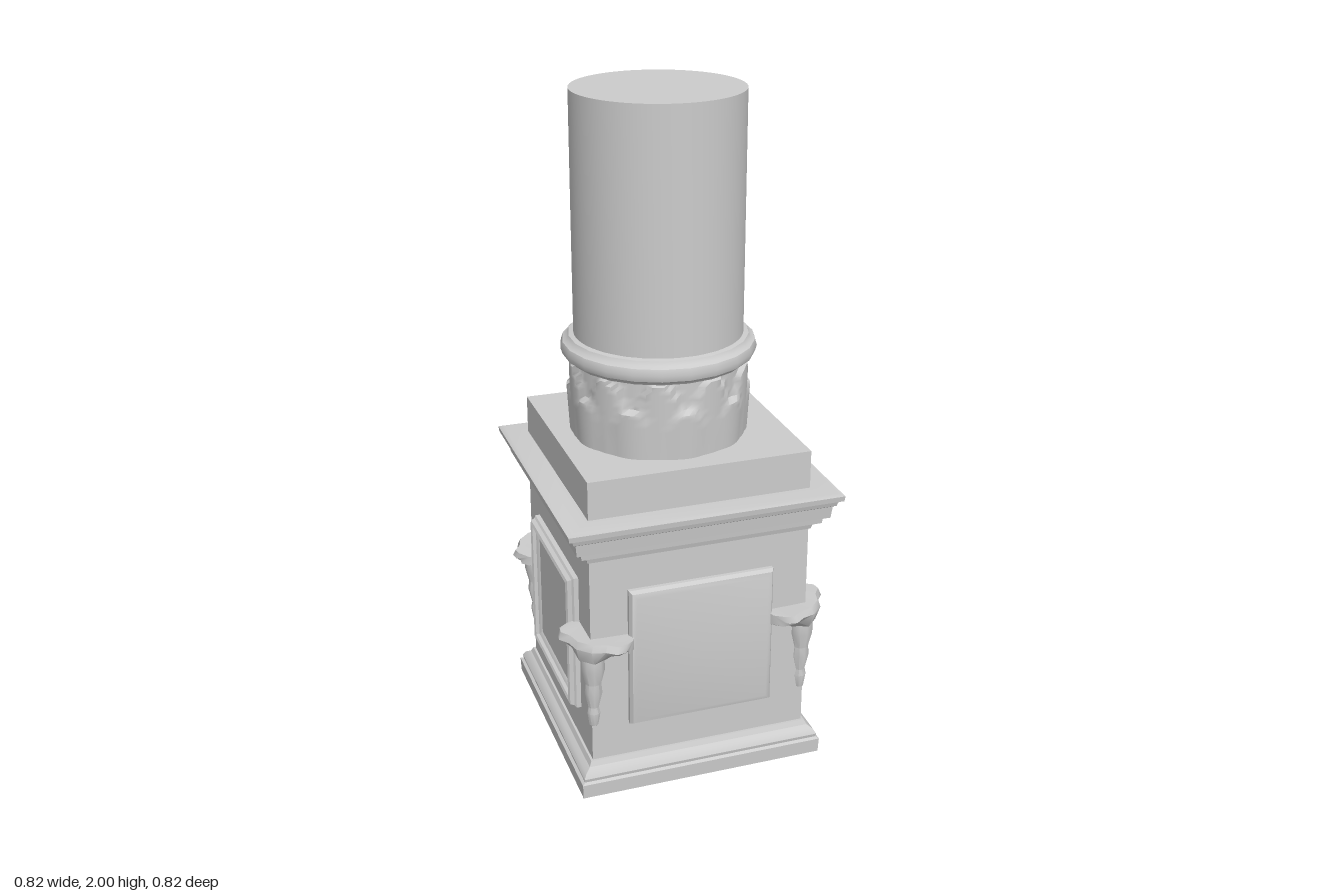
import * as THREE from 'three';
import { toCreasedNormals } from 'three/addons/utils/BufferGeometryUtils.js';

const material = new THREE.MeshStandardMaterial({ color: 0xcccccc, side: THREE.DoubleSide });

function add(parent, name, geometry) {
  const mesh = new THREE.Mesh(geometry, material);
  mesh.name = name;
  parent.add(mesh);
  return mesh;
}

// Square moulding: profile of [half width, height], swept round four sides
function squareLoft(profile) {
  const points = profile.map(([r, y]) => new THREE.Vector2(r * Math.SQRT2, y));
  const g = new THREE.LatheGeometry(points, 4, Math.PI / 4);
  return toCreasedNormals(g, 0.5);
}

function roundLoft(profile, segments) {
  const points = profile.map(([r, y]) => new THREE.Vector2(r, y));
  return toCreasedNormals(new THREE.LatheGeometry(points, segments), 0.7);
}

// Drum with two staggered rows of leaves raised in relief
function leafDrum() {
  const g = new THREE.CylinderGeometry(0.25, 0.25, 0.25, 96, 20, true);
  const p = g.attributes.position;
  for (let i = 0; i < p.count; i++) {
    const a = Math.atan2(p.getX(i), p.getZ(i));
    const t = (p.getY(i) + 0.125) / 0.25;
    const low = Math.abs(Math.cos(a * 5));
    const high = Math.abs(Math.sin(a * 5));
    const lowLeaf = t < 0.25 + 0.35 * low ? 0.012 * low + 0.014 * t : 0;
    const highLeaf = t < 0.45 + 0.5 * high ? 0.007 * high + 0.01 * t : 0;
    const r = 0.25 + Math.max(lowLeaf, highLeaf);
    p.setX(i, Math.sin(a) * r);
    p.setZ(i, Math.cos(a) * r);
  }
  g.computeVertexNormals();
  return toCreasedNormals(g, 0.9);
}

// Winged bracket lying across a corner, its middle hanging lower than its tips;
// local x runs across the corner and z points outward along the diagonal
function bracketWings() {
  const rows = [-0.11, -0.095, -0.06, -0.025, 0.025, 0.06, 0.095, 0.11];
  const low = [0.475, 0.465, 0.455, 0.43, 0.43, 0.455, 0.465, 0.475];
  const out = [0.465, 0.485, 0.49, 0.51, 0.51, 0.49, 0.485, 0.465];
  const back = [0.415, 0.385, 0.4, 0.42, 0.42, 0.4, 0.385, 0.415];
  const pos = [], index = [];
  rows.forEach((x, i) => {
    pos.push(x, 0.505, back[i], x, 0.51, out[i] - 0.01, x, 0.49, out[i],
      x, low[i] + 0.015, out[i] - 0.015, x, low[i], back[i] + 0.03, x, low[i], back[i]);
  });
  const n = 6;
  for (let i = 0; i < rows.length - 1; i++) {
    for (let j = 0; j < n; j++) {
      const a = i * n + j, b = i * n + (j + 1) % n;
      index.push(a, b, a + n, b, b + n, a + n);
    }
  }
  const end = (rows.length - 1) * n;
  for (let j = 1; j < n - 1; j++) {
    index.push(0, j + 1, j, end, end + j, end + j + 1);
  }
  const g = new THREE.BufferGeometry();
  g.setAttribute('position', new THREE.Float32BufferAttribute(pos, 3));
  g.setIndex(index);
  g.computeVertexNormals();
  return toCreasedNormals(g, 0.8);
}

export function createModel() {
  const model = new THREE.Group();
  model.name = 'columnOnPedestal';

  // Pedestal: moulded foot, plain body, stepped cornice and block
  add(model, 'foot', squareLoft([
    [0, 0], [0.375, 0], [0.377, 0.045], [0.368, 0.05], [0.37, 0.06],
    [0.362, 0.075], [0.347, 0.085], [0.34, 0.1], [0.3, 0.1]]));
  add(model, 'body', squareLoft([[0.333, 0.09], [0.333, 0.78]]));
  add(model, 'cornice', squareLoft([
    [0.32, 0.755], [0.338, 0.755], [0.342, 0.77], [0.362, 0.78], [0.364, 0.8],
    [0.38, 0.803], [0.384, 0.84], [0.392, 0.845], [0.396, 0.858],
    [0.408, 0.864], [0.41, 0.88], [0.395, 0.885], [0.3, 0.885]]));
  add(model, 'topBlock', squareLoft([[0.333, 0.87], [0.333, 1], [0, 1]]));

  // Panels: a plain slab in front, framed panels on the other three sides
  const slab = [[0.221, 0.32], [0.221, 0.345], [0.214, 0.357], [0.2, 0.362], [0, 0.362]];
  const frame = [[0.218, 0.32], [0.218, 0.347], [0.212, 0.352], [0.208, 0.364],
    [0.2, 0.368], [0.193, 0.364], [0.19, 0.354], [0.182, 0.35], [0.178, 0.346], [0, 0.346]];
  for (let i = 0; i < 4; i++) {
    const side = new THREE.Group();
    side.name = 'panelSide';
    side.rotation.y = i * Math.PI / 2;
    const g = squareLoft(i === 0 ? slab : frame);
    g.rotateX(Math.PI / 2);
    add(side, i === 0 ? 'plainPanel' : 'framedPanel', g).position.y = 0.429;
    model.add(side);
  }

  // Corner ornaments: winged bracket with a tapering drop beneath
  const wings = bracketWings();
  const drop = roundLoft([
    [0, 0.21], [0.014, 0.22], [0.02, 0.26], [0.016, 0.28], [0.027, 0.33],
    [0.024, 0.36], [0.036, 0.41], [0.034, 0.45]], 10);
  for (let i = 0; i < 4; i++) {
    const corner = new THREE.Group();
    corner.name = 'cornerOrnament';
    corner.rotation.y = Math.PI / 4 + i * Math.PI / 2;
    add(corner, 'bracketWings', wings);
    add(corner, 'bracketDrop', drop).position.z = 0.46;
    model.add(corner);
  }

  // Column, set slightly off the pedestal's centre
  const column = new THREE.Group();
  column.name = 'column';
  column.position.set(-0.018, 0, 0.008);
  add(column, 'leafDrum', leafDrum()).position.y = 1.122;
  add(column, 'collar', roundLoft([
    [0.24, 1.225], [0.262, 1.228], [0.268, 1.237], [0.28, 1.243], [0.286, 1.262],
    [0.28, 1.28], [0.268, 1.286], [0.262, 1.298], [0.24, 1.302]], 22));
  add(column, 'shaft', roundLoft([[0.246, 1.2], [0.246, 2], [0, 2]], 64));
  model.add(column);

  return model;
}
